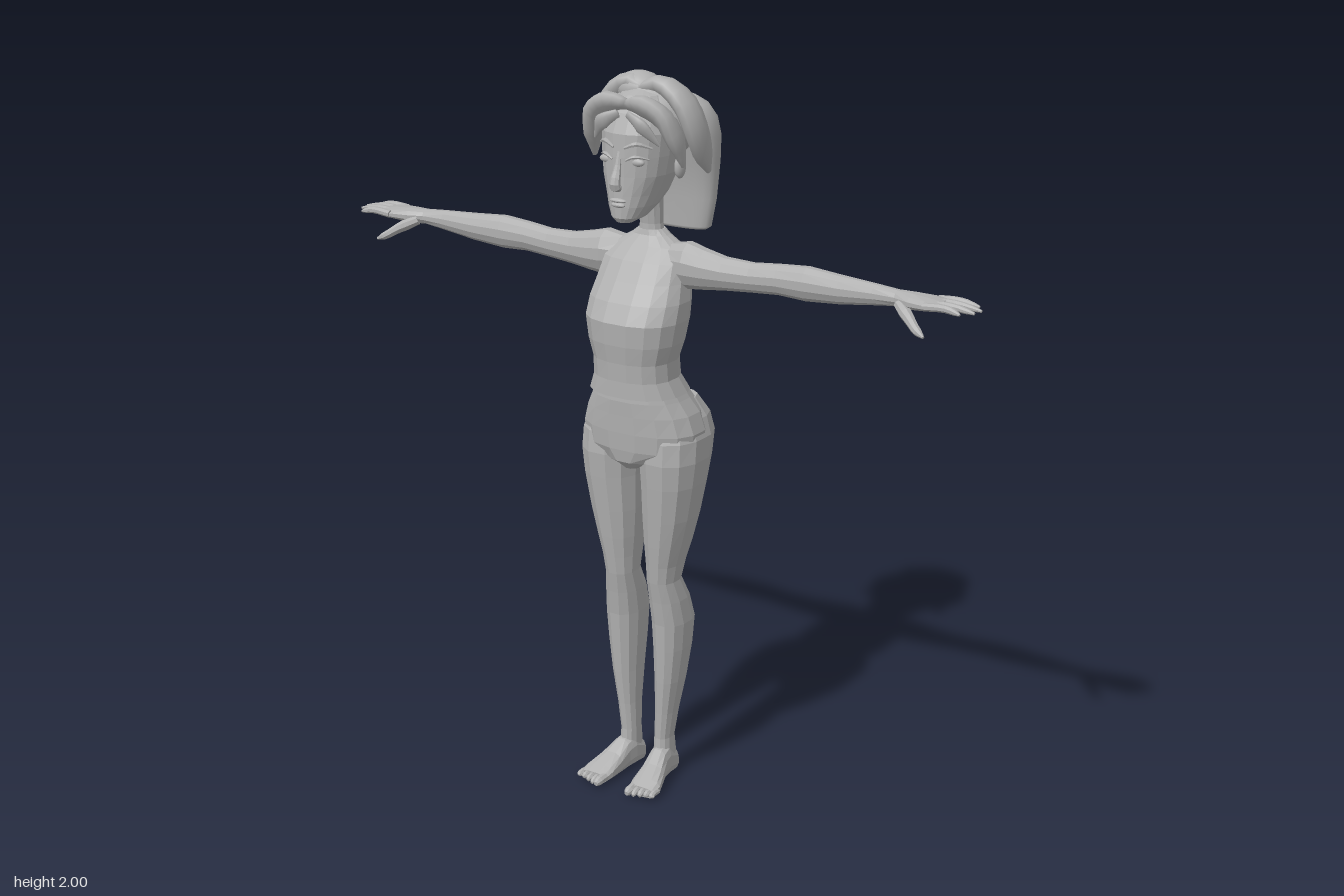
import * as THREE from 'three';

const V = (x, y, z) => new THREE.Vector3(x, y, z);

// Closed skin over rings of [centre, u, v]; u x v points along the path
function skin(rings, sides, power = 2) {
  const pos = [], index = [];
  const bend = (c) => Math.sign(c) * Math.abs(c) ** (2 / power);
  for (const [c, u, v] of rings) {
    for (let j = 0; j < sides; j++) {
      const a = ((j + 0.5) / sides) * Math.PI * 2;
      const p = c.clone().addScaledVector(u, bend(Math.cos(a))).addScaledVector(v, bend(Math.sin(a)));
      pos.push(p.x, p.y, p.z);
    }
  }
  const last = rings.length - 1, start = rings.length * sides, end = start + 1;
  pos.push(...rings[0][0].toArray(), ...rings[last][0].toArray());
  for (let j = 0; j < sides; j++) {
    const k = (j + 1) % sides;
    for (let i = 0; i < last; i++) {
      const a = i * sides + j, b = i * sides + k;
      index.push(a, b, b + sides, a, b + sides, a + sides);
    }
    index.push(start, k, j, end, last * sides + j, last * sides + k);
  }
  const g = new THREE.BufferGeometry();
  g.setAttribute('position', new THREE.Float32BufferAttribute(pos, 3));
  g.setIndex(index);
  return g;
}

// Upright form, rows of [y, xMin, xMax, zFront, zBack]
const column = (rows, sides, power) => skin(rows.map(([y, x0, x1, zf, zb]) =>
  [V((x0 + x1) / 2, y, (zf + zb) / 2), V(0, 0, (zf - zb) / 2), V((x1 - x0) / 2, 0, 0)]), sides, power);

// Upright form symmetric in x, rows of [y, halfWidth, zFront, zBack]
const body = (rows, sides, power) => column(rows.map(([y, w, f, b]) => [y, -w, w, f, b]), sides, power);

// Strand along a smooth path; wide is the direction of its broad side
function strand(points, widths, thickness, wide, sides = 10, steps = 12) {
  const curve = new THREE.CatmullRomCurve3(points.map((p) => V(...p)));
  const rings = [];
  for (let i = 0; i <= steps; i++) {
    const t = i / steps, f = t * (widths.length - 1), k = Math.min(Math.floor(f), widths.length - 2);
    const w = THREE.MathUtils.lerp(widths[k], widths[k + 1], f - k);
    const T = curve.getTangent(t);
    const u = V(...wide).addScaledVector(T, -T.dot(V(...wide))).normalize();
    const v = T.clone().cross(u);
    rings.push([curve.getPoint(t), u.multiplyScalar(w), v.multiplyScalar(w * thickness)]);
  }
  return skin(rings, sides);
}

function ball(x, y, z, rx, ry, rz) {
  return new THREE.SphereGeometry(1, 16, 10).scale(rx, ry, rz).translate(x, y, z);
}

function mirrored(geometry) {
  const g = geometry.clone().scale(-1, 1, 1);
  const ix = g.index.array;
  for (let i = 0; i < ix.length; i += 3) [ix[i], ix[i + 1]] = [ix[i + 1], ix[i]];
  return g;
}

export function createModel() {
  const model = new THREE.Group();
  const clay = new THREE.MeshStandardMaterial({ color: 0xb0b0b0 });
  clay.name = 'grey clay';

  function add(name, geometry, smooth = false) {
    const g = smooth ? geometry : geometry.toNonIndexed();
    g.computeVertexNormals();
    const mesh = new THREE.Mesh(g, clay);
    mesh.name = name;
    model.add(mesh);
  }
  function pair(name, geometry, smooth) {
    add('left' + name, geometry, smooth);
    add('right' + name, mirrored(geometry), smooth);
  }

  // Torso with a flared hem, and the neck
  add('torso', body([
    [1.155, 0.135, 0.158, -0.066], [1.2, 0.116, 0.157, -0.04], [1.25, 0.115, 0.16, -0.034],
    [1.3, 0.13, 0.167, -0.046], [1.36, 0.14, 0.17, -0.058], [1.41, 0.14, 0.145, -0.062],
    [1.46, 0.132, 0.112, -0.062], [1.51, 0.125, 0.08, -0.058], [1.545, 0.1, 0.045, -0.052],
    [1.57, 0.055, 0.024, -0.044], [1.585, 0.036, 0.02, -0.042],
  ], 16, 2.4));
  add('neck', body([[1.55, 0.04, 0.022, -0.043], [1.6, 0.033, 0.02, -0.04], [1.7, 0.036, 0.035, -0.04]], 12));

  // Hips
  add('hips', body([
    [0.94, 0.03, 0.105, -0.04], [0.965, 0.09, 0.13, -0.075], [1.0, 0.168, 0.136, -0.092],
    [1.05, 0.176, 0.14, -0.1], [1.1, 0.16, 0.142, -0.095], [1.14, 0.137, 0.144, -0.075], [1.18, 0.118, 0.14, -0.045],
  ], 16, 2.3));

  // Legs, from ankle to seat
  pair('Leg', column([
    [0.04, 0.03, 0.085, 0.05, -0.034], [0.12, 0.032, 0.08, 0.043, -0.025], [0.2, 0.035, 0.09, 0.047, -0.036],
    [0.3, 0.034, 0.107, 0.055, -0.055], [0.4, 0.029, 0.12, 0.06, -0.07], [0.48, 0.025, 0.126, 0.065, -0.076],
    [0.55, 0.024, 0.12, 0.074, -0.055], [0.61, 0.026, 0.11, 0.084, -0.024], [0.66, 0.024, 0.118, 0.09, -0.038],
    [0.72, 0.019, 0.134, 0.098, -0.055], [0.8, 0.014, 0.154, 0.107, -0.069], [0.9, 0.012, 0.172, 0.118, -0.084],
    [0.97, 0.006, 0.18, 0.124, -0.1], [1.03, 0.005, 0.178, 0.12, -0.116], [1.08, 0.006, 0.162, 0.1, -0.11],
    [1.13, 0.012, 0.13, 0.07, -0.08],
  ], 12, 2.3));

  // Feet and toes; rows of [z, centreX, halfWidth, height]
  const foot = [
    [-0.04, 0.056, 0.018, 0.045], [-0.025, 0.056, 0.027, 0.07], [0.02, 0.058, 0.03, 0.1], [0.05, 0.062, 0.031, 0.092],
    [0.09, 0.07, 0.038, 0.065], [0.135, 0.079, 0.046, 0.044], [0.165, 0.082, 0.043, 0.03],
  ];
  pair('Foot', skin(foot.map(([z, x, w, h]) => [V(x, h / 2, z), V(w, 0, 0), V(0, h / 2, 0)]), 12, 2.6));
  for (let i = 0; i < 5; i++) {
    const x = 0.049 + i * 0.0175, r = i ? 0.009 : 0.013, tip = 0.196 - i * 0.006;
    pair('Toe' + (i + 1), strand([[x, 0.018, 0.14], [x + 0.002, 0.018, 0.17], [x + 0.003, r + 0.001, tip]],
      [r, r, r, r * 1.05, r * 0.5], 1, [1, 0, 0], 8, 6));
  }

  // Arms to the knuckles; rows of [x, y, halfHeight, z, halfDepth]
  const arm = [
    [0.07, 1.505, 0.05, 0, 0.045], [0.13, 1.504, 0.064, 0.006, 0.05], [0.18, 1.5, 0.055, 0.006, 0.044],
    [0.24, 1.497, 0.045, 0.004, 0.036], [0.32, 1.498, 0.04, 0, 0.032], [0.4, 1.504, 0.041, -0.004, 0.034],
    [0.48, 1.505, 0.046, -0.005, 0.036], [0.58, 1.506, 0.038, -0.001, 0.031], [0.68, 1.511, 0.028, 0.004, 0.024],
    [0.745, 1.513, 0.021, 0.006, 0.025], [0.79, 1.513, 0.022, 0.01, 0.04], [0.84, 1.515, 0.017, 0.012, 0.049],
    [0.875, 1.515, 0.012, 0.012, 0.048],
  ];
  pair('Arm', skin(arm.map(([x, y, h, z, d]) => [V(x, y, z), V(0, h, 0), V(0, 0, d)]), 12));
  [0.95, 0.97, 0.965, 0.94].forEach((tip, i) => {
    const z = -0.028 + i * 0.027;
    pair('Finger' + (i + 1), strand([[0.84, 1.516, z], [0.9, 1.52, z], [tip, 1.512, z * 1.1 - 0.001]],
      [0.012, 0.012, 0.011, 0.01, 0.004], 0.9, [0, 0, 1], 8, 6));
  });
  pair('Thumb', strand([[0.76, 1.505, 0.03], [0.8, 1.485, 0.058], [0.835, 1.462, 0.08], [0.86, 1.45, 0.09]],
    [0.015, 0.018, 0.014, 0.012, 0.004], 0.9, [0, 0, 1], 8, 8));

  // Head
  add('head', body([
    [1.627, 0.022, 0.138, 0.09], [1.64, 0.042, 0.147, 0.04], [1.67, 0.06, 0.148, -0.01], [1.7, 0.072, 0.147, -0.045],
    [1.75, 0.09, 0.145, -0.065], [1.8, 0.097, 0.145, -0.08], [1.86, 0.102, 0.142, -0.085], [1.91, 0.092, 0.12, -0.08],
    [1.95, 0.06, 0.085, -0.06], [1.965, 0.02, 0.04, -0.02],
  ], 20, 2.2));

  // Face
  add('nose', strand([[0, 1.815, 0.138], [0, 1.77, 0.15], [0, 1.73, 0.161], [0, 1.717, 0.145]],
    [0.008, 0.009, 0.014, 0.017, 0.01], 0.8, [1, 0, 0], 8, 8));
  add('upperLip', ball(0, 1.688, 0.147, 0.025, 0.006, 0.01));
  add('lowerLip', ball(0, 1.676, 0.146, 0.021, 0.007, 0.01));
  pair('Eye', ball(0.046, 1.79, 0.128, 0.023, 0.011, 0.01), true);
  pair('Eyelid', strand([[0.02, 1.794, 0.142], [0.045, 1.805, 0.137], [0.074, 1.797, 0.112]],
    [0.003, 0.005, 0.002], 1, [0, 1, 0], 6, 6));
  pair('Eyebrow', strand([[0.016, 1.826, 0.143], [0.048, 1.838, 0.134], [0.08, 1.826, 0.108]],
    [0.004, 0.007, 0.003], 0.7, [0, 1, 0], 6, 6));
  pair('Ear', ball(0.098, 1.765, 0.005, 0.014, 0.034, 0.02), true);

  // Hair: cap, crown locks, swept fringe and gathered tail
  add('hairCap', ball(0, 1.87, -0.012, 0.122, 0.115, 0.105), true);
  pair('CrownLock', strand([
    [-0.015, 1.95, 0.02], [0.045, 1.97, 0.008], [0.105, 1.93, 0], [0.134, 1.86, -0.015], [0.138, 1.79, -0.045], [0.14, 1.74, -0.07],
  ], [0.03, 0.045, 0.05, 0.046, 0.035, 0.008], 0.6, [0, 0.25, 1]), true);
  pair('FringeLock', strand([
    [0, 1.925, 0.095], [0.05, 1.93, 0.1], [0.1, 1.9, 0.085], [0.126, 1.84, 0.066], [0.138, 1.775, 0.05],
  ], [0.025, 0.045, 0.046, 0.036, 0.008], 0.6, [0, 0.5, 0.8]), true);
  pair('FringeWisp', strand([[0.015, 1.91, 0.125], [0.06, 1.885, 0.13], [0.1, 1.835, 0.105]],
    [0.012, 0.022, 0.004], 0.5, [0, 1, 0.3], 8, 8), true);
  add('crownPuff', ball(-0.03, 1.955, 0.0, 0.068, 0.045, 0.055), true);
  add('hairBand', ball(0, 1.9, -0.06, 0.105, 0.05, 0.045), true);
  add('hairTail', body([
    [1.566, 0.095, -0.105, -0.158], [1.575, 0.108, -0.096, -0.166], [1.65, 0.116, -0.098, -0.186], [1.75, 0.124, -0.078, -0.2],
    [1.82, 0.128, -0.06, -0.203], [1.87, 0.121, -0.052, -0.194], [1.905, 0.1, -0.056, -0.174],
    [1.925, 0.068, -0.066, -0.148], [1.934, 0.025, -0.085, -0.12],
  ], 24, 2.3), true);

  return model;
}
